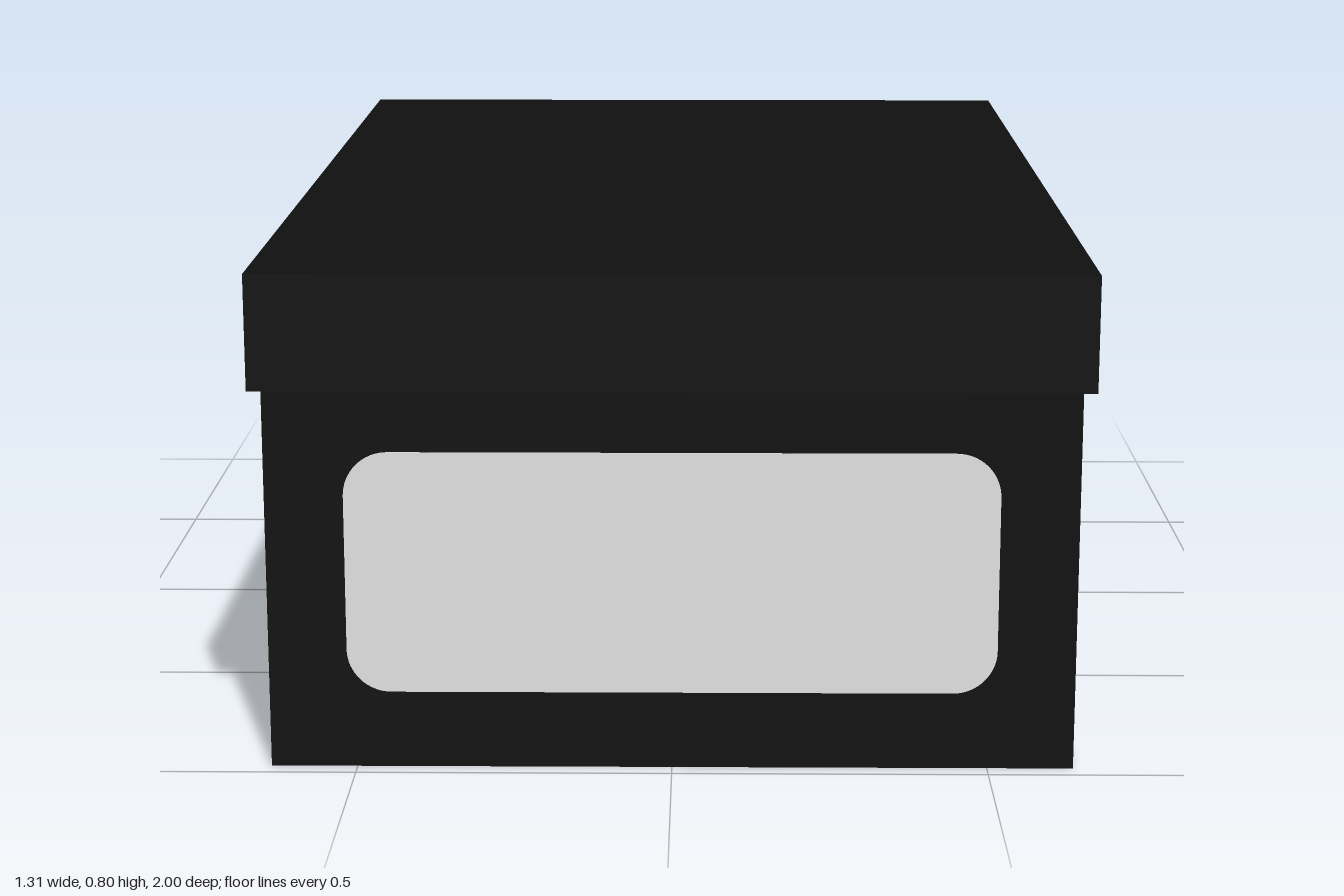
import * as THREE from 'three';

const black = new THREE.MeshStandardMaterial({ color: 0x101010 });
black.name = 'black card';
const paper = new THREE.MeshStandardMaterial({ color: 0xe2e2e2 });
paper.name = 'label paper';

function box(name, width, bottom, top, depth) {
  const mesh = new THREE.Mesh(new THREE.BoxGeometry(width, top - bottom, depth), black);
  mesh.name = name;
  mesh.position.y = (bottom + top) / 2;
  return mesh;
}

// Rectangle with rounded corners, centred on the origin
function roundedRect(w, h, r) {
  const x = w / 2, y = h / 2, s = new THREE.Shape();
  s.absarc(x - r, y - r, r, 0, Math.PI / 2);
  s.absarc(-x + r, y - r, r, Math.PI / 2, Math.PI);
  s.absarc(-x + r, -y + r, r, Math.PI, Math.PI * 1.5);
  s.absarc(x - r, -y + r, r, Math.PI * 1.5, Math.PI * 2);
  s.closePath();
  return s;
}

export function createModel() {
  const group = new THREE.Group();
  group.name = 'shoebox';

  // Tray, with its rim tucked up inside the lid
  group.add(box('boxBody', 1.274, 0, 0.7, 1.94));

  // Overhanging lid
  group.add(box('lid', 1.31, 0.618, 0.802, 2));

  // Label on the front end
  const label = new THREE.Mesh(
    new THREE.ExtrudeGeometry(roundedRect(1.026, 0.39, 0.07), {
      depth: 0.004, bevelEnabled: false, curveSegments: 8,
    }),
    paper,
  );
  label.name = 'frontLabel';
  label.position.set(0, 0.32, 0.969);
  group.add(label);

  return group;
}
